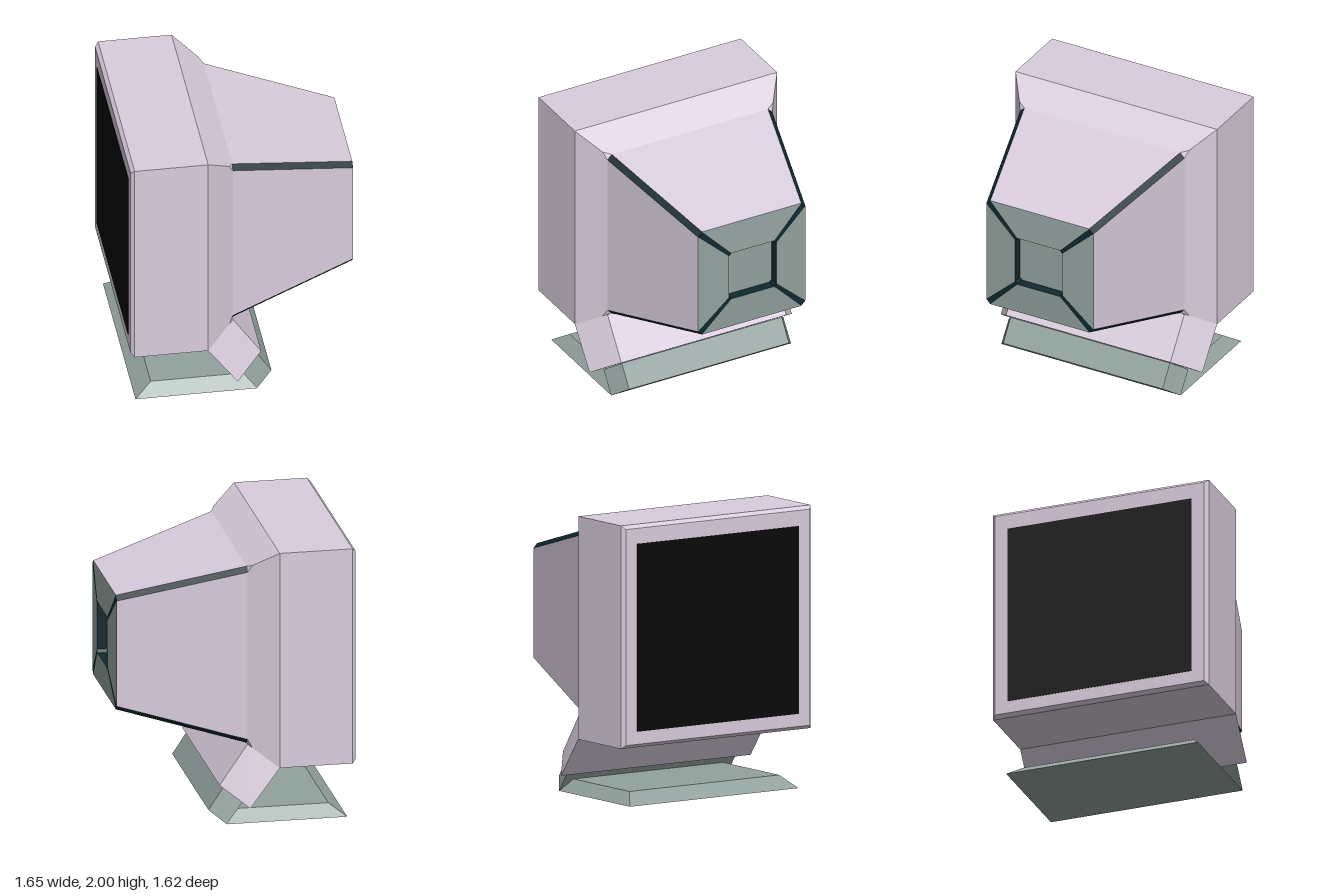
import * as THREE from 'three';
import { ConvexGeometry } from 'three/addons/geometries/ConvexGeometry.js';

const mat = (color) => new THREE.MeshStandardMaterial({ color, flatShading: true });
const CY = 1.21; // height of the tube axis

// Chamfered rectangle across the x axis: half height, half width, corner cut
function ring(x, hy, hz, c = 0) {
  return [
    [hy, c - hz], [hy, hz - c], [hy - c, hz], [c - hy, hz],
    [-hy, hz - c], [-hy, c - hz], [c - hy, -hz], [hy - c, -hz],
  ].map(([y, z]) => new THREE.Vector3(x, CY + y, z));
}

// Flat-shaded geometry from a triangle list, dropping collapsed ones
function fromTriangles(tris) {
  const pts = tris.filter((t) => new THREE.Triangle(...t).getArea() > 1e-7).flat();
  const geo = new THREE.BufferGeometry().setFromPoints(pts);
  geo.computeVertexNormals();
  return geo;
}

// Walls joining successive rings; sides picks flats (even) and/or corners (odd)
function loft(rings, sides) {
  const tris = [];
  for (let r = 0; r < rings.length - 1; r++) {
    const a = rings[r], b = rings[r + 1];
    for (const i of sides) {
      const j = (i + 1) % 8;
      tris.push([a[i], a[j], b[j]], [a[i], b[j], b[i]]);
    }
  }
  return tris;
}

// Fan closing a ring, facing +x or -x
function cap(r, back) {
  const tris = [];
  for (let i = 1; i < 7; i++) tris.push(back ? [r[0], r[i], r[i + 1]] : [r[0], r[i + 1], r[i]]);
  return tris;
}

// Convex block from points mirrored across z
function block(points) {
  return new ConvexGeometry(points.flatMap(([x, y, z]) => [
    new THREE.Vector3(x, y, z), new THREE.Vector3(x, y, -z),
  ]));
}

export function createModel() {
  const group = new THREE.Group();
  const casing = mat(0xd9cddd), grey = mat(0x93a29e), dark = mat(0x10292e), black = mat(0x080808);
  const add = (name, geo, material) => {
    const mesh = new THREE.Mesh(geo, material);
    mesh.name = name;
    group.add(mesh);
  };
  const flats = [0, 2, 4, 6], corners = [1, 3, 5, 7], all = [...flats, ...corners];

  // Front housing with bevelled bezel and tapered shoulder
  const face = ring(-0.826, 0.765, 0.785);
  const coneStart = ring(-0.08, 0.65, 0.66, 0.035);
  const shell = [face, ring(-0.8, 0.79, 0.81), ring(-0.28, 0.79, 0.81), ring(-0.11, 0.671, 0.6825), coneStart];
  add('housing', fromTriangles([...loft(shell, all), ...cap(face, false)]), casing);

  // Screen
  const screen = new THREE.BoxGeometry(0.02, 1.33, 1.38);
  screen.translate(-0.819, CY - 0.01, 0);
  add('screen', screen, black);

  // Tapered rear cover with dark corner strips
  const coneEnd = ring(0.807, 0.42, 0.43, 0.033);
  add('rearCover', fromTriangles(loft([coneStart, coneEnd], flats)), casing);
  add('rearCoverCorners', fromTriangles(loft([coneStart, coneEnd], corners)), dark);

  // Shallow back panel around a recessed square
  const rim = ring(0.823, 0.187, 0.19, 0.02);
  const floor = ring(0.753, 0.187, 0.19, 0.02);
  add('backPanel', fromTriangles(loft([coneEnd, rim], flats)), grey);
  add('backPanelCorners', fromTriangles(loft([coneEnd, rim], corners)), dark);
  add('recessWalls', fromTriangles(loft([rim, floor], all)), dark);
  add('recessFloor', fromTriangles(cap(floor, true)), grey);

  // Stand: slanted arm under the housing, neck and bevelled foot
  add('standArm', block([
    [-0.28, 0.42, 0.81], [-0.08, 0.56, 0.66], [0.12, 0.27, 0.66], [-0.07, 0.135, 0.81],
  ]), casing);
  add('standNeck', block([
    [-0.03, 0.155, 0.72], [0.09, 0.245, 0.64], [0.195, 0.087, 0.64], [0.08, 0, 0.72],
  ]), grey);
  add('standFoot', block([
    [-0.78, 0, 0.72], [0.08, 0, 0.72], [0.022, 0.085, 0.64], [-0.66, 0.085, 0.64],
  ]), grey);

  return group;
}
